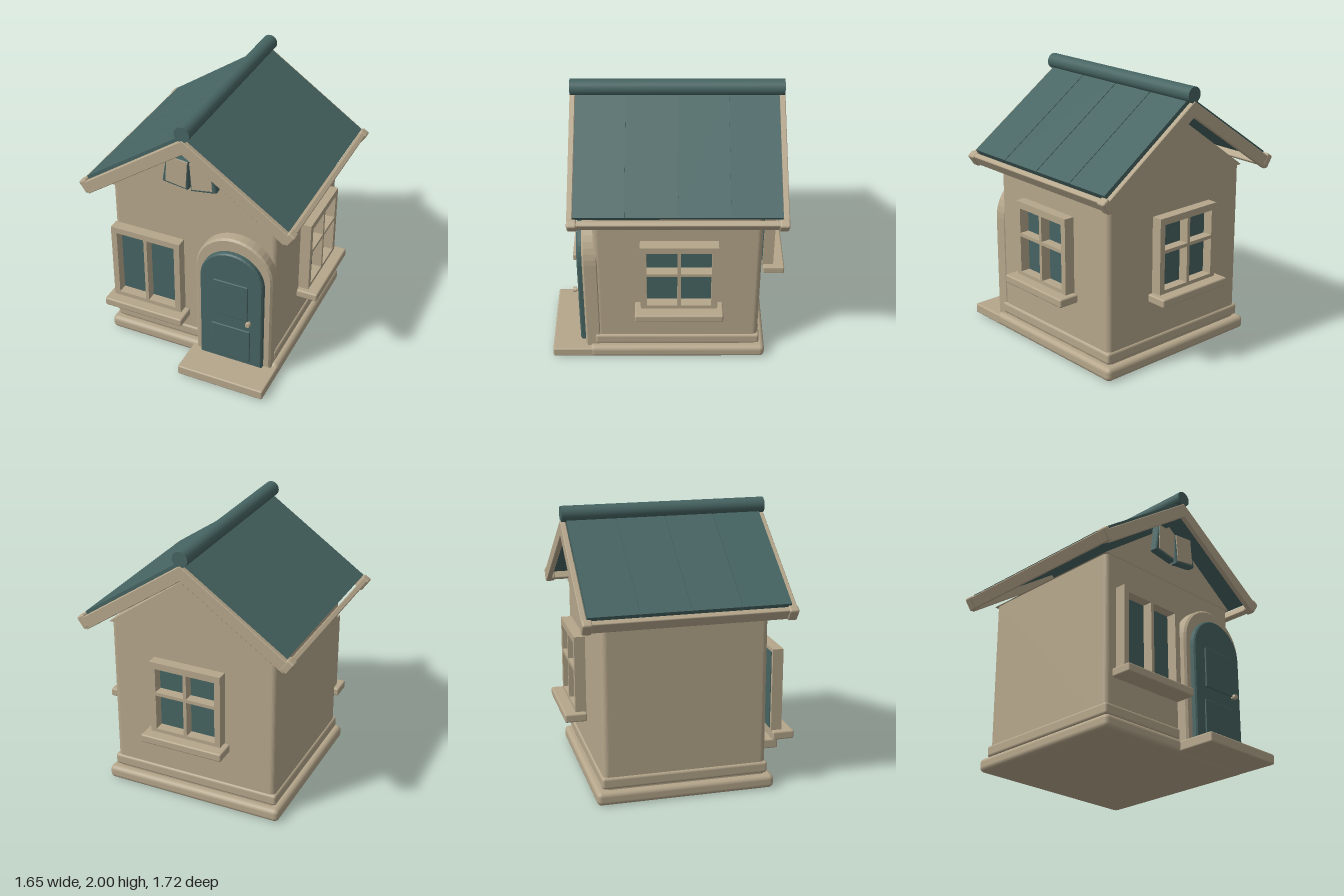
import * as THREE from 'three';
import { RoundedBoxGeometry } from 'three/addons/geometries/RoundedBoxGeometry.js';

const CX = -0.015, CZ = -0.062; // centre of the house walls

export function createModel() {
  const house = new THREE.Group();
  house.name = 'cottage';
  const beige = new THREE.MeshStandardMaterial({ color: 0xb5a68b });
  beige.name = 'beige';
  const teal = new THREE.MeshStandardMaterial({ color: 0x466462 });
  teal.name = 'teal';

  const add = (name, geometry, material, x = 0, y = 0, z = 0, parent = house) => {
    const mesh = new THREE.Mesh(geometry, material);
    mesh.name = name;
    mesh.position.set(x, y, z);
    parent.add(mesh);
    return mesh;
  };
  // box with softened edges
  const soft = (w, h, d, r = 0.012, seg = 2) => new RoundedBoxGeometry(w, h, d, seg, r);
  const polygon = pts => new THREE.Shape(pts.map(p => new THREE.Vector2(p[0], p[1])));
  // extrusion from z0 to z1 whose bevel stays inside the outline
  const slab = (shape, z0, z1, bevel = 0, curveSegments = 10) => {
    const g = new THREE.ExtrudeGeometry(shape, {
      depth: z1 - z0 - 2 * bevel, bevelEnabled: bevel > 0, bevelThickness: bevel,
      bevelSize: bevel, bevelOffset: -bevel, bevelSegments: 1, curveSegments,
    });
    g.translate(0, 0, z0 + bevel);
    return g;
  };
  const rect = (x0, y0, x1, y1) => [[x0, y0], [x1, y0], [x1, y1], [x0, y1]];

  // foundation and step
  add('plinth', soft(1.37, 0.1, 1.295, 0.035), beige, CX, 0.05, CZ);
  add('baseBand', soft(1.3, 0.085, 1.21, 0.02), beige, CX, 0.152, CZ);
  add('doorStep', soft(0.67, 0.075, 0.33), beige, 0.33, 0.045, 0.695);

  // walls with rounded vertical corners
  const hw = 0.635, hd = 0.593, r = 0.04;
  const plan = new THREE.Shape();
  plan.moveTo(-hw + r, -hd);
  plan.absarc(hw - r, -hd + r, r, -Math.PI / 2, 0);
  plan.absarc(hw - r, hd - r, r, 0, Math.PI / 2);
  plan.absarc(-hw + r, hd - r, r, Math.PI / 2, Math.PI);
  plan.absarc(-hw + r, -hd + r, r, Math.PI, Math.PI * 1.5);
  const walls = slab(plan, 0.09, 1.3, 0, 4);
  walls.rotateX(-Math.PI / 2);
  add('walls', walls, beige, CX, 0, CZ);

  // gable prism
  const gable = polygon([[-0.648, 1.298], [0.648, 1.298], [0, 1.765]]);
  add('gable', slab(gable, -0.598, 0.598), beige, CX, 0, CZ);

  // roof: four panels per slope over a slightly lower deck
  const slope = 0.69, tilt = Math.atan(slope);
  for (const s of [-1, 1]) {
    const side = s > 0 ? 'left' : 'right';
    const deck = polygon([[0, 1.915], [s * 0.76, 1.391], [s * 0.735, 1.355], [0, 1.862]]);
    add(side + 'RoofDeck', slab(deck, -0.765, 0.645), teal, CX);
    const panel = polygon([[0, 1.927], [s * 0.77, 1.397], [s * 0.75, 1.368], [0, 1.885]]);
    for (let i = 0; i < 4; i++) {
      const z = -0.77 + i * 0.355;
      add(side + 'RoofPanel', slab(panel, z + 0.003, z + 0.352), teal, CX);
    }
    // eave board with end blocks
    const eave = new THREE.Group();
    eave.name = side + 'Eave';
    eave.position.set(CX + s * 0.768, 1.332, CZ);
    eave.rotation.z = -s * tilt;
    house.add(eave);
    add('eaveBoard', soft(0.04, 0.09, 1.46, 0.008), beige, 0, 0, 0, eave);
    for (const e of [-1, 1])
      add('eaveEndBlock', soft(0.062, 0.102, 0.07, 0.014), beige, 0, 0, e * 0.715, eave);
  }
  // gable-end boards
  const barge = polygon([[0, 1.9], [0.795, 1.351], [0.74, 1.279], [0, 1.79], [-0.74, 1.279], [-0.795, 1.351]]);
  add('frontBargeBoard', slab(barge, 0.65, 0.688, 0.004), beige, CX);
  add('backBargeBoard', slab(barge, -0.81, -0.772, 0.004), beige, CX);
  // ridge roll
  const ridge = new THREE.CylinderGeometry(0.057, 0.057, 1.488, 24);
  ridge.rotateX(Math.PI / 2);
  add('ridge', ridge, teal, CX, 1.943, CZ + 0.002);

  // windows: pierced frame, glass behind it, sill below
  const addWindow = (name, h, rows, sillY, x, y, z, turn) => {
    const g = new THREE.Group();
    g.name = name;
    g.position.set(x, y, z);
    g.rotation.y = turn;
    house.add(g);
    const frame = polygon(rect(-0.272, 0, 0.272, h));
    for (const [y0, y1] of rows)
      for (const [x0, x1] of [[-0.228, -0.0125], [0.0125, 0.228]])
        frame.holes.push(polygon(rect(x0, y0, x1, y1)));
    add('windowFrame', slab(frame, 0, 0.078), beige, 0, 0, 0, g);
    add('glass', new THREE.BoxGeometry(0.49, h - 0.05, 0.009), teal, 0, h / 2, 0, g);
    add('sill', soft(0.628, 0.062, 0.158), beige, 0, sillY, 0.081, g);
  };
  const panes = [[0.04, 0.31], [0.335, 0.52]];
  addWindow('frontWindow', 0.62, [[0.045, 0.575]], -0.018, -0.34, 0.4, 0.582, 0);
  addWindow('leftWindow', 0.57, panes, -0.018, 0.662, 0.55, -0.072, Math.PI / 2);
  addWindow('backWindow', 0.57, panes, -0.018, CX, 0.55, -0.7, Math.PI);

  // arched door and surround
  const arch = (half, y0, spring) => {
    const s = new THREE.Shape();
    s.moveTo(-half, y0);
    s.lineTo(half, y0);
    s.absarc(0, spring, half, 0, Math.PI);
    s.closePath();
    return s;
  };
  add('doorSurround', slab(arch(0.293, 0.085, 0.86), 0.5, 0.615, 0.014), beige, 0.33);
  add('door', slab(arch(0.24, 0.1, 0.815), 0.59, 0.656, 0.01), teal, 0.33);
  add('upperDoorPanel', soft(0.265, 0.3, 0.03, 0.006), teal, 0.328, 0.665, 0.651);
  add('lowerDoorPanel', soft(0.3, 0.28, 0.03, 0.006), teal, 0.33, 0.28, 0.651);
  const stem = new THREE.CylinderGeometry(0.01, 0.01, 0.04, 10);
  stem.rotateX(Math.PI / 2);
  add('knobStem', stem, beige, 0.475, 0.508, 0.67);
  const knob = new THREE.CylinderGeometry(0.017, 0.021, 0.022, 10);
  knob.rotateX(Math.PI / 2);
  add('knob', knob, beige, 0.475, 0.508, 0.69);

  // pair of small gable shutters
  for (const s of [-1, 1]) {
    const rim = polygon([[s * 0.004, 1.675], [s * 0.168, 1.692], [s * 0.205, 1.482], [s * 0.185, 1.475], [s * 0.012, 1.45]]);
    add('shutterRim', slab(rim, 0.52, 0.59, 0.008), teal, CX);
    const leaf = polygon([[s * 0.008, 1.676], [s * 0.162, 1.692], [s * 0.176, 1.495], [s * 0.024, 1.47]]);
    add('shutterLeaf', slab(leaf, 0.588, 0.596), beige, CX);
  }
  return house;
}
